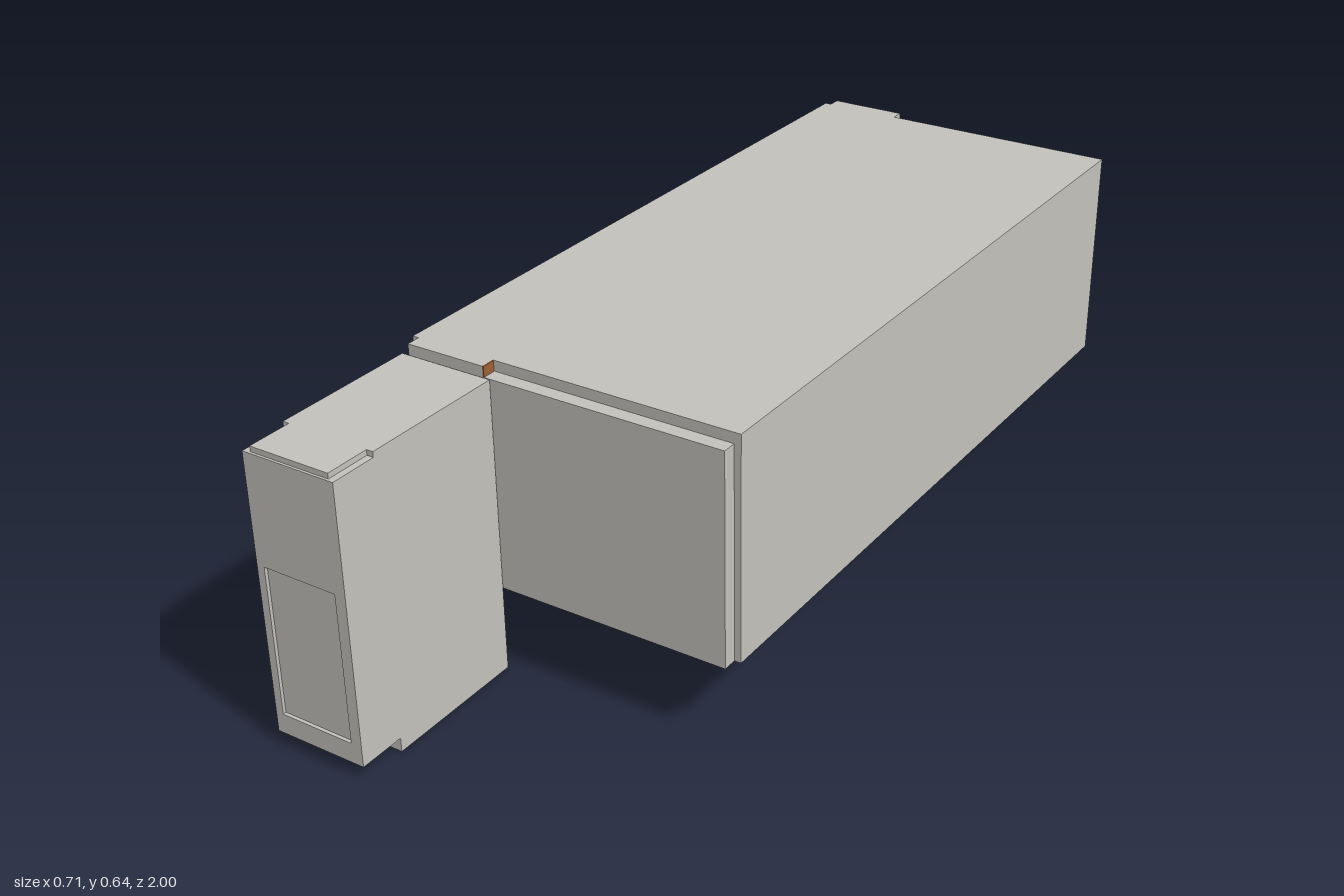
import * as THREE from 'three';

export function createModel() {
  const model = new THREE.Group();
  const grey = new THREE.MeshStandardMaterial({ color: 0xc4c2bd });
  grey.name = 'concreteGrey';
  const brown = new THREE.MeshStandardMaterial({ color: 0x9c6236, side: THREE.DoubleSide });
  brown.name = 'woodBrown';

  // Box given by its minimum and maximum corners
  function block(name, x0, x1, y0, y1, z0, z1, parent = model, material = grey) {
    const mesh = new THREE.Mesh(new THREE.BoxGeometry(x1 - x0, y1 - y0, z1 - z0), material);
    mesh.position.set((x0 + x1) / 2, (y0 + y1) / 2, (z0 + z1) / 2);
    mesh.name = name;
    parent.add(mesh);
    return mesh;
  }

  // Long main hall
  block('mainHall', -0.357, 0.357, 0.18, 0.645, -0.97, 0.555);

  // Inset end walls, each with a raised part flush with the roof
  for (const [side, z0, z1] of [['front', 0.555, 0.585], ['back', -1, -0.97]]) {
    const wall = new THREE.Shape([
      [-0.343, 0.18], [0.343, 0.18], [0.343, 0.623],
      [-0.171, 0.623], [-0.171, 0.645], [-0.343, 0.645],
    ].map(([x, y]) => new THREE.Vector2(x, y)));
    const mesh = new THREE.Mesh(
      new THREE.ExtrudeGeometry(wall, { depth: z1 - z0, bevelEnabled: false }), grey);
    mesh.position.z = z0;
    mesh.name = side + 'EndWall';
    model.add(mesh);
  }
  block('brownRoofEdge', -0.171, -0.168, 0.623, 0.645, 0.556, 0.585, model, brown);

  // Hollow stair tower, open at the back
  const tower = new THREE.Group();
  tower.name = 'stairTower';
  model.add(tower);
  const L = -0.357, R = -0.154, T = 0.014, B = 0.587;

  // Side walls with a raised front foot and a lowered top front corner
  const profile = new THREE.Shape([
    [B, 0], [0.9, 0], [0.9, 0.03], [1, 0.03], [1, 0.612], [0.9, 0.612], [0.9, 0.623], [B, 0.623],
  ].map(([z, y]) => new THREE.Vector2(-z, y)));
  for (const [name, x] of [['rightTowerWall', L], ['leftTowerWall', R - T]]) {
    const geometry = new THREE.ExtrudeGeometry(profile, { depth: T, bevelEnabled: false });
    geometry.rotateY(Math.PI / 2);
    const mesh = new THREE.Mesh(geometry, grey);
    mesh.position.x = x;
    mesh.name = name;
    tower.add(mesh);
  }
  block('towerRoof', L + T, R - T, 0.605, 0.623, B, 0.995, tower);
  block('towerFloor', L + T, R - T, 0, 0.065, B, 0.9, tower);
  block('towerFrontSill', L + T, R - T, 0.03, 0.065, 0.9, 0.985, tower);

  // Front wall with a doorway and a shallowly recessed door
  const front = new THREE.Shape([
    [L + T, 0.03], [R - T, 0.03], [R - T, 0.612], [L + T, 0.612],
  ].map(([x, y]) => new THREE.Vector2(x, y)));
  front.holes.push(new THREE.Path([
    [-0.34, 0.073], [-0.34, 0.386], [-0.178, 0.386], [-0.178, 0.073],
  ].map(([x, y]) => new THREE.Vector2(x, y))));
  const frontWall = new THREE.Mesh(
    new THREE.ExtrudeGeometry(front, { depth: 0.015, bevelEnabled: false }), grey);
  frontWall.position.z = 0.985;
  frontWall.name = 'towerFrontWall';
  tower.add(frontWall);
  block('door', -0.342, -0.176, 0.07, 0.39, 0.98, 0.993, tower);

  // Thin zigzag stairs rising from the door towards the hall
  const stairs = new THREE.Group();
  stairs.name = 'stairs';
  tower.add(stairs);
  const steps = 8, run = 0.045, rise = 0.022;
  for (let i = 0; i < steps; i++) {
    const z = 0.96 - i * run, y = 0.066 + i * rise;
    block('riser', L + T, R - T, y, y + rise, z - 0.006, z, stairs, brown);
    block('tread', L + T, R - T, y + rise - 0.006, y + rise, z - run, z, stairs, brown);
  }
  return model;
}
